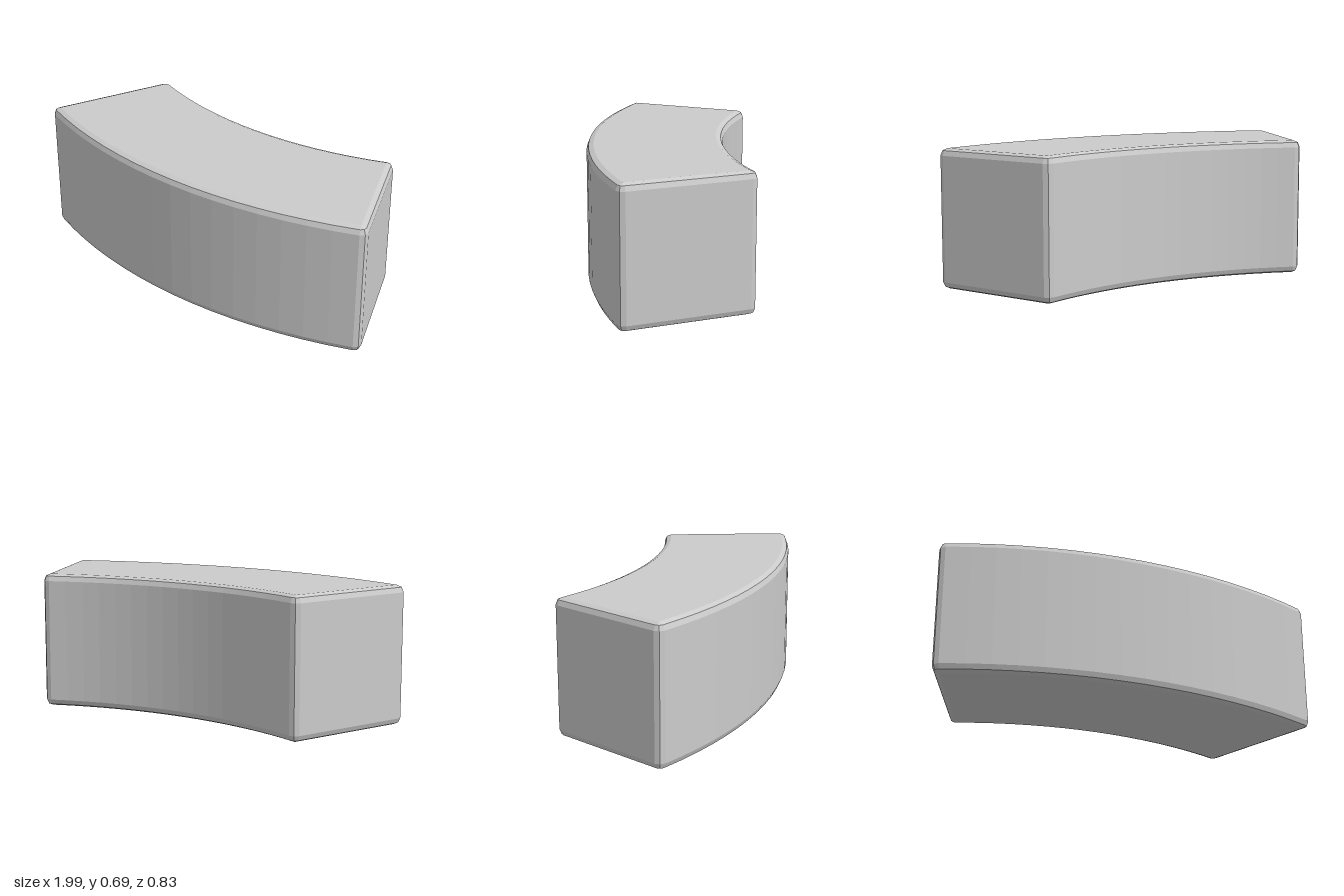
import * as THREE from 'three';

const N = 16;              // facets along each curved face
const H = 0.695;           // height
const R_OUT = 2.635, R_IN = 1.945, CENTRE_Z = -2.22;
const HALF = Math.PI / 8;  // half of the 45 degree sweep
const B = 0.035;           // edge rounding

// Plan outline of the block's core: position and outward direction at each step
function outline() {
  const loop = [];
  const add = (r, t, dir) => loop.push({
    x: r * Math.sin(t), z: CENTRE_Z + r * Math.cos(t),
    nx: Math.sin(dir), nz: Math.cos(dir),
  });
  const ro = R_OUT - B, ri = R_IN + B;
  const to = HALF - Math.asin(B / ro), ti = HALF - Math.asin(B / ri);
  const side = HALF + Math.PI / 2;
  // front arc
  for (let i = 0; i <= N; i++) { const t = to * (2 * i / N - 1); add(ro, t, t); }
  // left end, two rounded corners
  add(ro, to, (to + side) / 2);
  add(ro, to, side);
  add(ri, ti, side);
  add(ri, ti, (side + ti + Math.PI) / 2);
  // back arc
  for (let i = 0; i <= N; i++) { const t = ti * (1 - 2 * i / N); add(ri, t, t + Math.PI); }
  // right end, two rounded corners
  add(ri, -ti, -(side + ti + Math.PI) / 2);
  add(ri, -ti, -side);
  add(ro, -to, -side);
  add(ro, -to, -(to + side) / 2);
  return loop;
}

function blockGeometry() {
  const loop = outline(), M = loop.length;
  const positions = [], index = [];
  // stacked rings: outward growth and height, two bevel steps at each end
  const q = Math.SQRT1_2 * B;
  const rings = [
    [0, 0], [q, B - q], [B, B],
    [B, H - B], [q, H - B + q], [0, H],
  ];
  for (const [grow, y] of rings)
    for (const p of loop) positions.push(p.x + p.nx * grow, y, p.z + p.nz * grow);

  // walls and bevels
  for (let k = 0; k < rings.length - 1; k++)
    for (let i = 0; i < M; i++) {
      const j = (i + 1) % M;
      const a = k * M + i, b = k * M + j, c = b + M, d = a + M;
      index.push(a, b, c, a, c, d);
    }
  // top and bottom faces, bridged from front arc to back arc
  const top = (rings.length - 1) * M;
  for (let i = 0; i < N; i++) {
    const a = i, b = i + 1, c = 2 * N + 4 - i, d = 2 * N + 5 - i;
    index.push(top + a, top + b, top + c, top + a, top + c, top + d);
    index.push(a, c, b, a, d, c);
  }
  const indexed = new THREE.BufferGeometry();
  indexed.setAttribute('position', new THREE.Float32BufferAttribute(positions, 3));
  indexed.setIndex(index);
  const geometry = indexed.toNonIndexed();
  geometry.computeVertexNormals();
  return geometry;
}

export function createModel() {
  const group = new THREE.Group();
  const material = new THREE.MeshStandardMaterial({ color: 0xcccccc, flatShading: true });
  const block = new THREE.Mesh(blockGeometry(), material);
  block.name = 'curvedBlock';
  group.add(block);
  return group;
}
